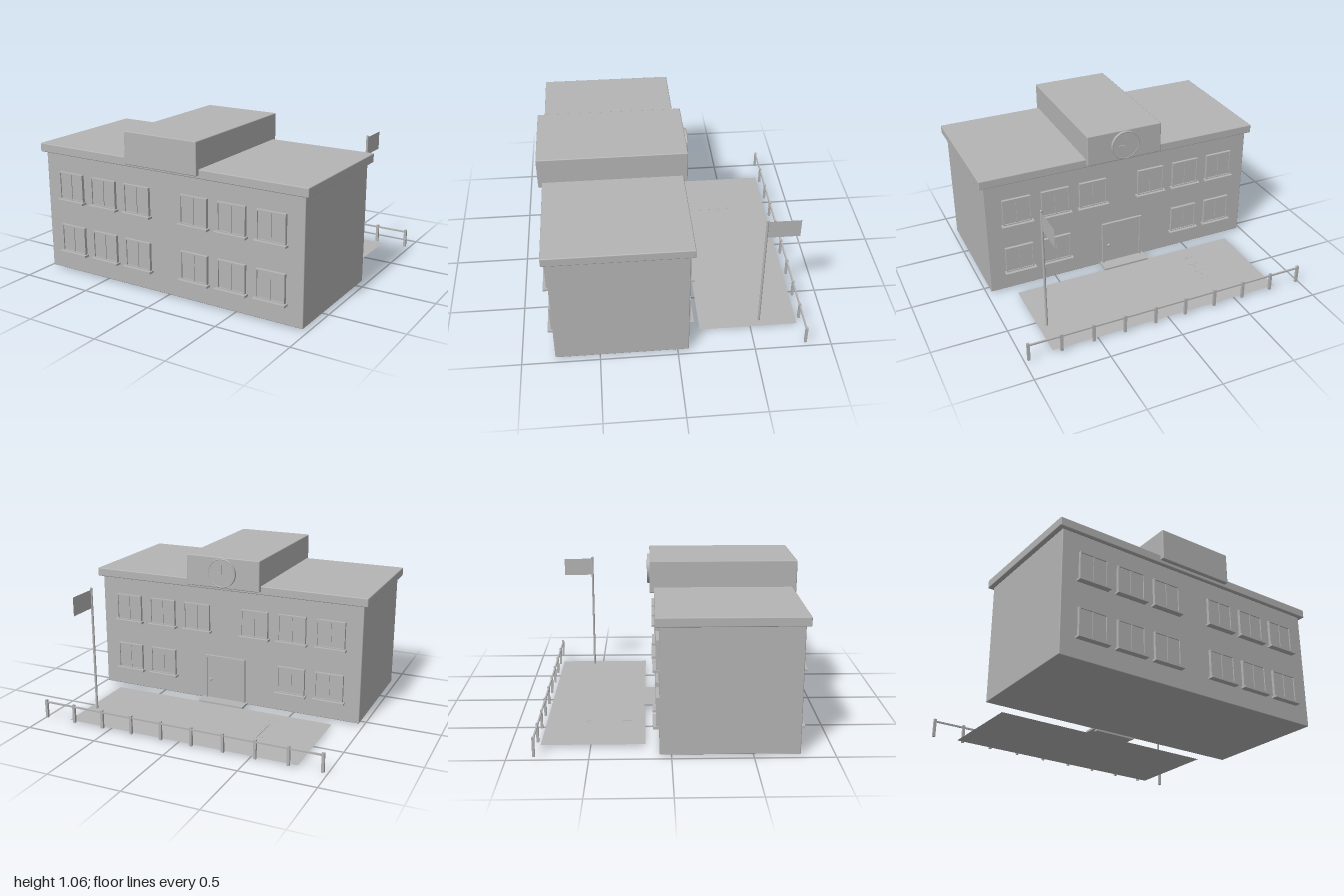
import * as THREE from 'three';
import { RoundedBoxGeometry } from 'three/addons/geometries/RoundedBoxGeometry.js';

const grey = new THREE.MeshStandardMaterial({ color: 0xb4b4b4 });
grey.name = 'plainGrey';
const greySheet = new THREE.MeshStandardMaterial({ color: 0xb4b4b4, side: THREE.DoubleSide });
greySheet.name = 'plainGreySheet';

function add(parent, name, geometry, x = 0, y = 0, z = 0, material = grey) {
  const m = new THREE.Mesh(geometry, material);
  m.name = name;
  m.position.set(x, y, z);
  parent.add(m);
  return m;
}

// box given by its limits on each axis
function box(parent, name, [x0, x1], [y0, y1], [z0, z1], bevel = 0) {
  const s = [x1 - x0, y1 - y0, z1 - z0];
  const g = bevel ? new RoundedBoxGeometry(...s, 1, bevel) : new THREE.BoxGeometry(...s);
  return add(parent, name, g, (x0 + x1) / 2, (y0 + y1) / 2, (z0 + z1) / 2);
}

// window standing on y = 0 with its back on z = 0, facing +z
function makeWindow() {
  const w = new THREE.Group();
  w.name = 'window';
  const hw = 0.098, h = 0.188, t = 0.009;
  box(w, 'pane', [-hw + t, hw - t], [t, h - t], [-0.005, 0.012]);
  for (const s of [-1, 1]) {
    const a = s * hw, b = s * (hw - t);
    box(w, 'frameSide', [Math.min(a, b), Math.max(a, b)], [0, h], [-0.005, 0.02]);
  }
  box(w, 'frameTop', [-hw + t, hw - t], [h - t, h], [-0.005, 0.02]);
  box(w, 'frameBottom', [-hw + t, hw - t], [0, t], [-0.005, 0.02]);
  box(w, 'mullion', [-0.005, 0.005], [t, h - t], [0, 0.017]);
  box(w, 'sill', [-0.11, 0.11], [-0.012, 0.002], [-0.005, 0.041]);
  return w;
}

// entrance with frame, leaf, handle and step, on the back wall
function makeEntrance() {
  const g = new THREE.Group();
  g.name = 'entrance';
  box(g, 'doorLeaf', [-0.135, 0.135], [0, 0.325], [-0.081, -0.06]);
  box(g, 'doorFrameLeft', [0.135, 0.15], [0, 0.34], [-0.09, -0.06]);
  box(g, 'doorFrameRight', [-0.15, -0.135], [0, 0.34], [-0.09, -0.06]);
  box(g, 'doorFrameTop', [-0.135, 0.135], [0.325, 0.34], [-0.09, -0.06]);
  add(g, 'doorHandle', new THREE.SphereGeometry(0.01, 12, 8), 0.105, 0.165, -0.091);
  box(g, 'doorStep', [-0.167, 0.167], [0.012, 0.026], [-0.167, -0.07]);
  return g;
}

// clock facing -z on the raised roof block
function makeClock() {
  const g = new THREE.Group();
  g.name = 'clock';
  add(g, 'clockFace', new THREE.CylinderGeometry(0.1, 0.1, 0.02, 32), 0, 0, -0.007).rotation.x = Math.PI / 2;
  add(g, 'clockRim', new THREE.TorusGeometry(0.096, 0.005, 6, 32), 0, 0, -0.015);
  box(g, 'minuteHand', [-0.004, 0.004], [-0.006, 0.06], [-0.022, -0.016]);
  box(g, 'hourHand', [-0.004, 0.05], [-0.004, 0.004], [-0.022, -0.016]);
  g.position.set(0, 0.953, -0.125);
  return g;
}

function makeFlagpole() {
  const g = new THREE.Group();
  g.name = 'flagpole';
  add(g, 'pole', new THREE.CylinderGeometry(0.008, 0.008, 0.86, 12), 0, 0.443, 0);
  add(g, 'poleTop', new THREE.SphereGeometry(0.009, 12, 8), 0, 0.868, 0);
  add(g, 'flag', new THREE.PlaneGeometry(0.21, 0.126), 0, 0.798, -0.108, greySheet).rotation.y = Math.PI / 2;
  g.position.set(0.755, 0, -0.564);
  return g;
}

function makeFence() {
  const g = new THREE.Group();
  g.name = 'fence';
  for (let i = 0; i < 10; i++) {
    const x = -0.975 + i * 0.2165;
    box(g, 'fencePost', [x - 0.009, x + 0.009], [0.013, 0.14], [-0.008, 0.008]);
  }
  box(g, 'fenceRail', [-0.975, 0.975], [0.119, 0.13], [-0.005, 0.005]);
  g.position.z = -0.833;
  return g;
}

// yard with faint court markings
function makeYard() {
  const g = new THREE.Group();
  g.name = 'yard';
  add(g, 'paving', new THREE.PlaneGeometry(1.62, 0.65), 0, 0.013, -0.485, greySheet).rotation.x = -Math.PI / 2;
  box(g, 'courtLine', [-0.435, -0.43], [0.013, 0.0145], [-0.55, -0.25]);
  for (const z of [-0.53, -0.44, -0.35, -0.27])
    box(g, 'courtTick', [-0.47, -0.4], [0.013, 0.0145], [z - 0.003, z + 0.003]);
  return g;
}

export function createModel() {
  const model = new THREE.Group();
  model.name = 'schoolBuilding';

  // main masses
  box(model, 'walls', [-0.97, 0.97], [0.012, 0.826], [-0.072, 0.786], 0.005);
  box(model, 'roofSlab', [-1, 1], [0.824, 0.883], [-0.099, 0.813], 0.006);
  box(model, 'roofBlock', [-0.268, 0.268], [0.845, 1.058], [-0.127, 0.84], 0.006);

  // two rows of windows; the door takes the lower middle bays at the back
  for (const y of [0.148, 0.515])
    for (const x of [0.217, 0.487, 0.757])
      for (const s of [-1, 1]) {
        const front = makeWindow();
        front.position.set(s * x, y, 0.786);
        model.add(front);
        if (y < 0.3 && x < 0.3) continue;
        const back = makeWindow();
        back.position.set(s * x, y, -0.072);
        back.rotation.y = Math.PI;
        model.add(back);
      }

  model.add(makeEntrance(), makeClock(), makeYard(), makeFlagpole(), makeFence());
  return model;
}
